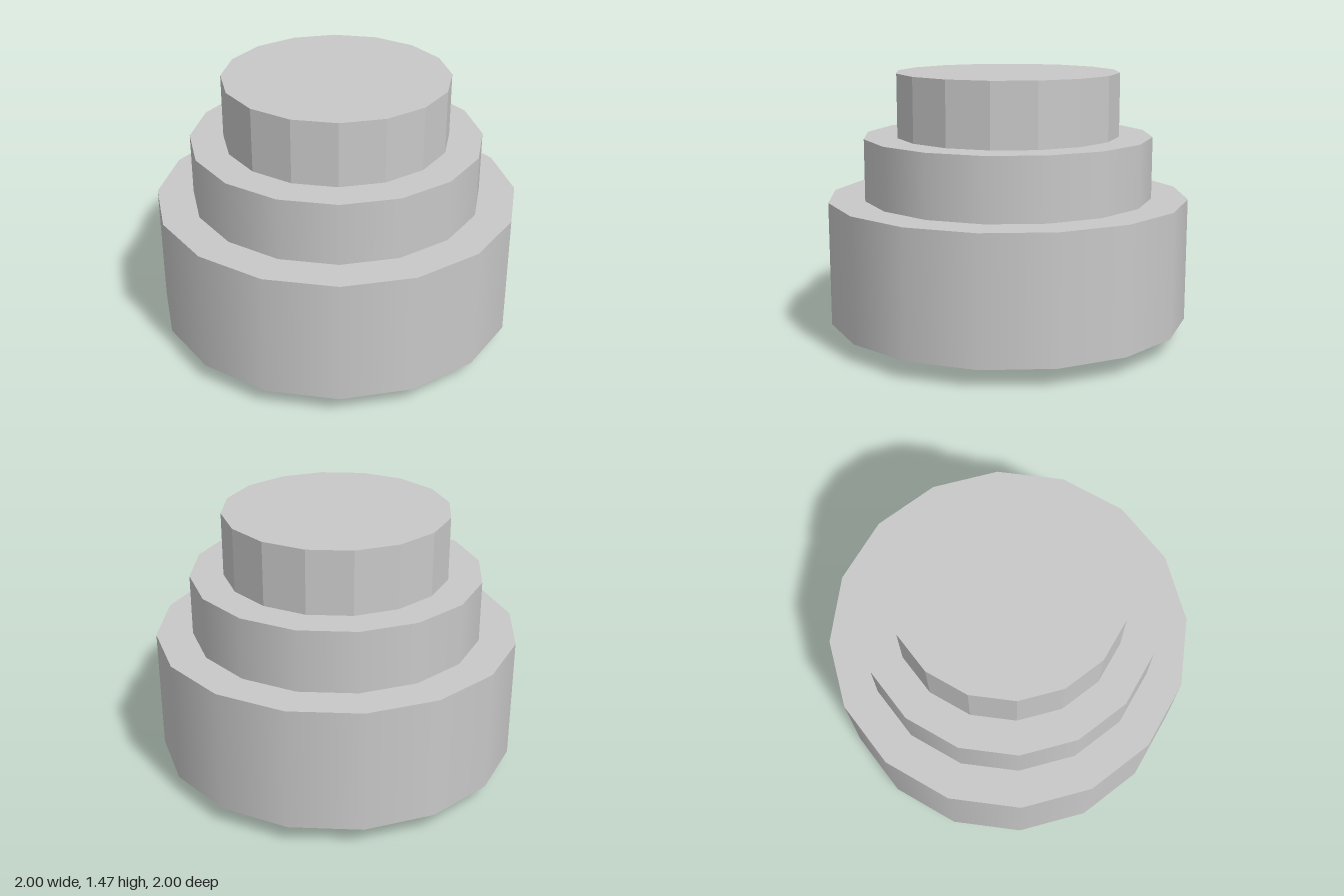
import * as THREE from 'three';

const SIDES = 16;

export function createModel() {
  const group = new THREE.Group();
  group.name = 'steppedDrum';

  const smoothGrey = new THREE.MeshStandardMaterial({ color: 0xc8c8c8 });
  smoothGrey.name = 'light grey';

  // Capped 16-sided drum spanning bottom to top; faceted drums get split normals
  function drum(name, radius, bottom, top, faceted = false) {
    let geometry = new THREE.CylinderGeometry(radius, radius, top - bottom, SIDES);
    if (faceted) {
      geometry = geometry.toNonIndexed();
      geometry.computeVertexNormals();
    }
    const mesh = new THREE.Mesh(geometry, smoothGrey);
    mesh.name = name;
    mesh.position.y = (bottom + top) / 2;
    group.add(mesh);
  }

  // Core running through the stack, showing as foot and top cap
  drum('core', 0.617, 0, 1.473, true);
  // Wide lower drum
  drum('lowerDrum', 1, 0.102, 0.784);
  // Narrower collar on top of it
  drum('upperCollar', 0.8, 0.784, 1.124);

  return group;
}
